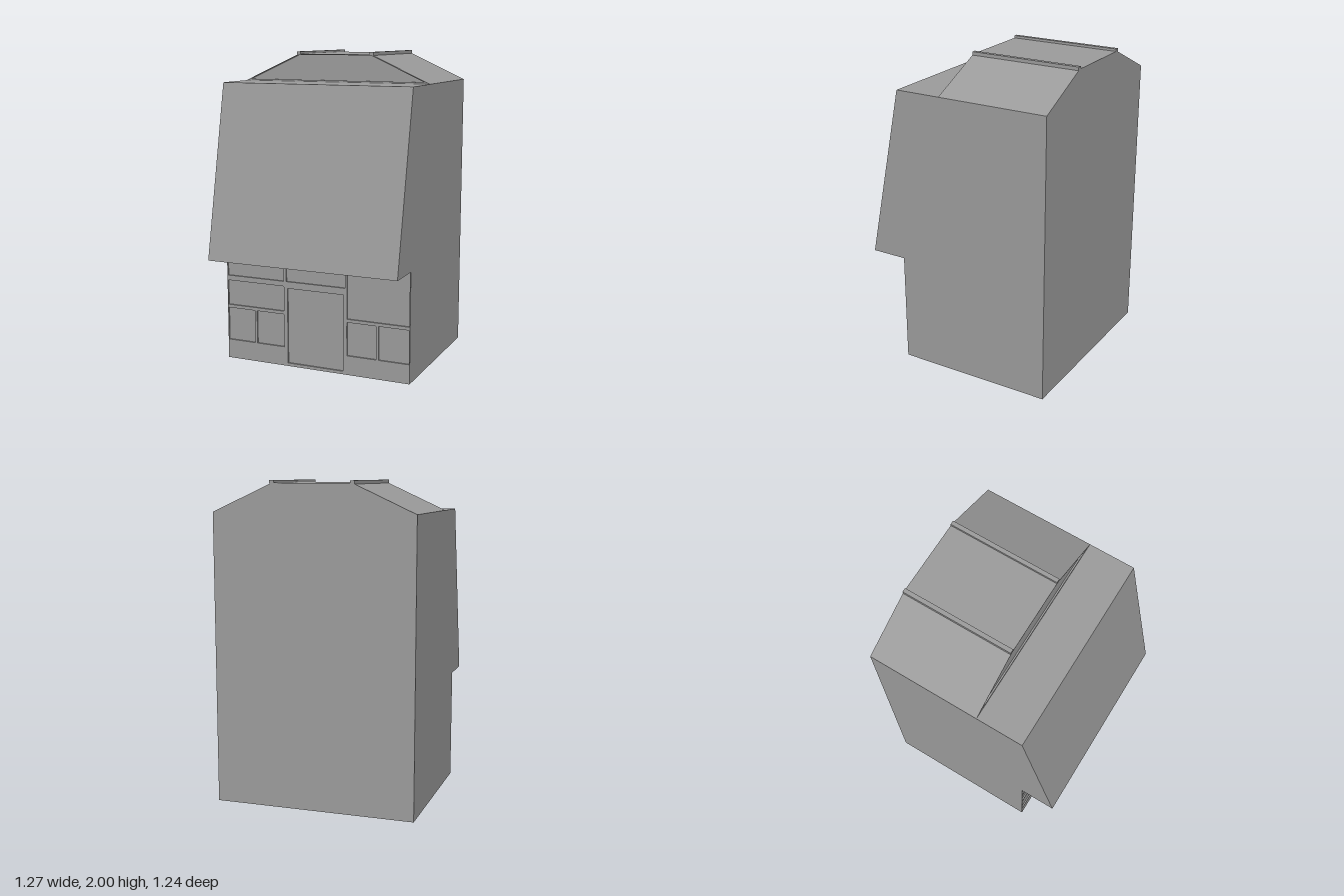
import * as THREE from 'three';

const W = 0.634, BACK = -0.622, FRONT = 0.39, EAVE = 1.81, RIDGE = 1.985;
const AWNING_Y = 0.707, AWNING_Z = 0.622, INSET = 0.01;

export function createModel() {
  const model = new THREE.Group();
  const mat = new THREE.MeshStandardMaterial({ color: 0x9a9a9a, flatShading: true });

  const add = (name, geo) => {
    const mesh = new THREE.Mesh(geo, mat);
    mesh.name = name;
    model.add(mesh);
  };
  const toShape = (pts) => new THREE.Shape(pts.map(([a, b]) => new THREE.Vector2(a, b)));
  const rect = (x0, y0, x1, y1) => [[x0, y0], [x1, y0], [x1, y1], [x0, y1]];
  const box = (name, x0, x1, y0, y1, z0, z1) => {
    const geo = new THREE.BoxGeometry(x1 - x0, y1 - y0, z1 - z0);
    add(name, geo.translate((x0 + x1) / 2, (y0 + y1) / 2, (z0 + z1) / 2));
  };
  // Outline in x, y with holes, extruded from z0 to z1
  const alongZ = (name, pts, z0, z1, holes = []) => {
    const shape = toShape(pts);
    holes.forEach((h) => shape.holes.push(toShape(h)));
    const geo = new THREE.ExtrudeGeometry(shape, { depth: z1 - z0, bevelEnabled: false });
    add(name, geo.translate(0, 0, z0));
  };
  // Side outline in z, y, extruded from x0 to x1
  const alongX = (name, pts, x0, x1) => {
    const geo = new THREE.ExtrudeGeometry(toShape(pts), { depth: x1 - x0, bevelEnabled: false });
    add(name, geo.rotateY(-Math.PI / 2).translate(x1, 0, 0));
  };

  // Main building block
  box('body', -W, W, 0, EAVE, BACK, FRONT - INSET);

  // Shop front with recessed door and window panels
  const panels = [
    [-0.196, 0.02, 0.192, 0.516],
    [-0.205, 0.56, 0.202, 0.702],
    [-0.629, 0.56, -0.222, 0.702],
    [-0.629, 0.363, -0.222, 0.527],
    [-0.629, 0.125, -0.433, 0.342],
    [-0.418, 0.125, -0.222, 0.342],
    [0.217, 0.363, 0.628, 0.702],
    [0.217, 0.125, 0.413, 0.342],
    [0.428, 0.125, 0.628, 0.342],
  ];
  alongZ('shopFront', rect(-W, 0, W, EAVE), FRONT - INSET, FRONT,
    panels.map((p) => rect(...p)));
  box('doorHandle', 0.208, 0.216, 0.24, 0.32, FRONT - INSET, FRONT + 0.007);

  // Hollow sloping awning, open underneath
  alongX('awningSlope',
    [[FRONT, EAVE - 0.05], [AWNING_Z - 0.01, AWNING_Y], [AWNING_Z, AWNING_Y], [FRONT, EAVE]], -W, W);
  const cheek = [[FRONT, AWNING_Y], [AWNING_Z, AWNING_Y], [FRONT, EAVE]];
  alongX('awningCheekLeft', cheek, W - 0.01, W);
  alongX('awningCheekRight', cheek, -W, -W + 0.01);

  // Roof block with a slightly recessed front gable
  const roofFront = 0.092;
  const gable = [[-W, EAVE], [W, EAVE], [0.25, RIDGE], [-0.25, RIDGE]];
  const recess = [[-0.6, EAVE + 0.01], [0.6, EAVE + 0.01], [0.248, RIDGE - 0.006], [-0.248, RIDGE - 0.006]];
  alongZ('roof', gable, BACK, roofFront - INSET);
  alongZ('gableFrame', gable, roofFront - INSET, roofFront, [recess]);

  // Ridge bars where the slopes meet the flat top
  for (const s of [-1, 1]) {
    box(s > 0 ? 'ridgeBarLeft' : 'ridgeBarRight',
      s * 0.25 - 0.0135, s * 0.25 + 0.0135, 1.978, 2, BACK, roofFront);
  }
  return model;
}
